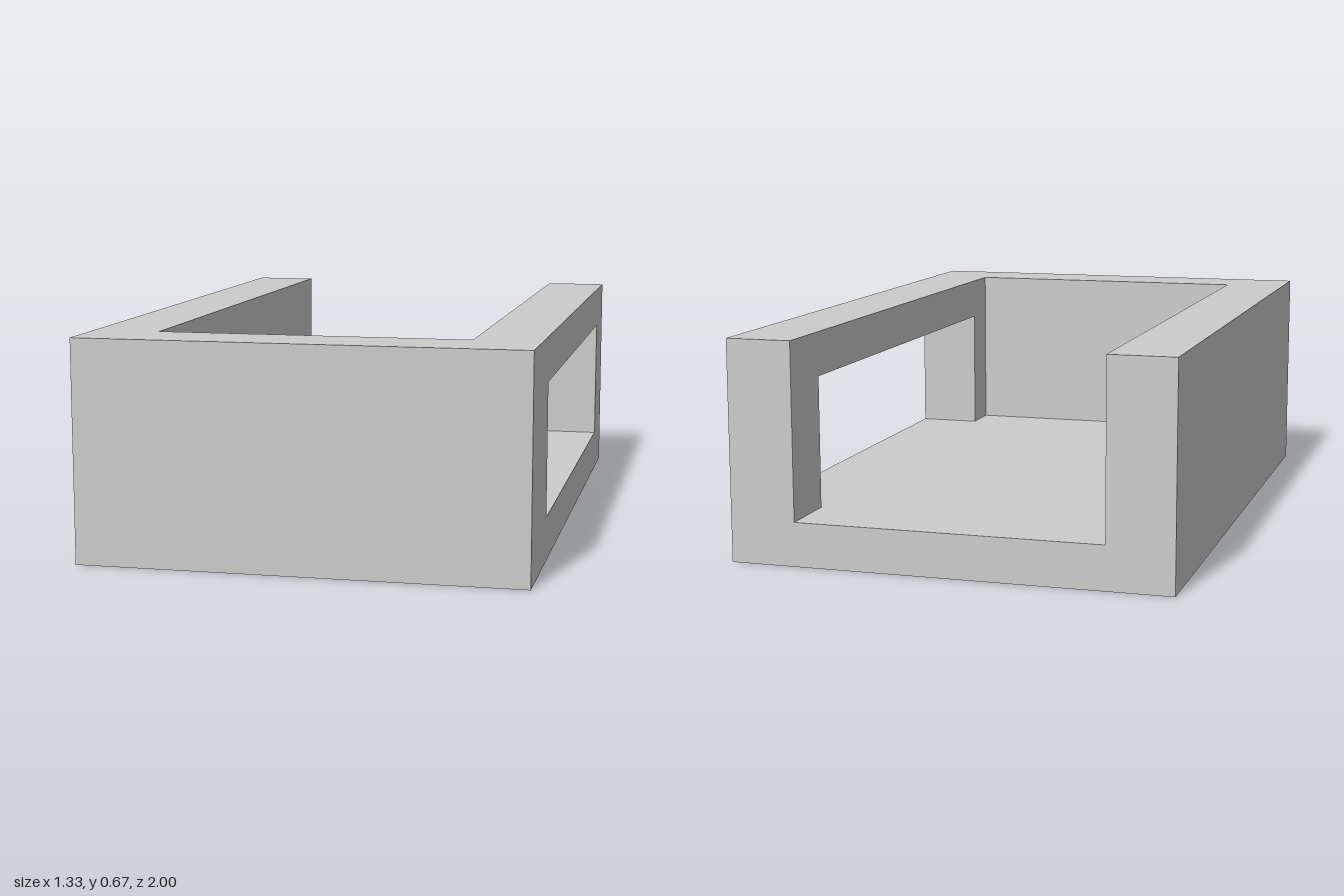
import * as THREE from 'three';

const W = 2 / 3;      // half width
const H = 2 / 3;      // height
const FLOOR = 2 / 15; // floor thickness
const T = 0.2;        // wall thickness

export function createModel() {
  const group = new THREE.Group();
  const material = new THREE.MeshStandardMaterial({ color: 0xcccccc, flatShading: true });

  const add = (name, geometry) => {
    const mesh = new THREE.Mesh(geometry, material);
    mesh.name = name;
    group.add(mesh);
  };
  // Box given by its lower and upper corners
  const block = (name, [x0, y0, z0], [x1, y1, z1]) => add(name,
    new THREE.BoxGeometry(x1 - x0, y1 - y0, z1 - z0)
      .translate((x0 + x1) / 2, (y0 + y1) / 2, (z0 + z1) / 2));

  block('floor', [-W, 0, -1], [W, FLOOR, 1]);
  block('frontWall', [-W, FLOOR, 1 - T], [W, H, 1]);
  block('rightWall', [-W, FLOOR, -1], [-W + T, H, 1 - T]);

  // Left wall: outline in (z, y), its window opening level with the floor
  const outline = [
    [-1, FLOOR], [-0.8, FLOOR], [-0.8, 8 / 15], [2 / 3, 8 / 15],
    [2 / 3, FLOOR], [1 - T, FLOOR], [1 - T, H], [-1, H],
  ].map(([z, y]) => new THREE.Vector2(z, y));
  add('leftWindowWall',
    new THREE.ExtrudeGeometry(new THREE.Shape(outline), { depth: T, bevelEnabled: false })
      .rotateY(-Math.PI / 2)
      .translate(W, 0, 0));

  return group;
}
